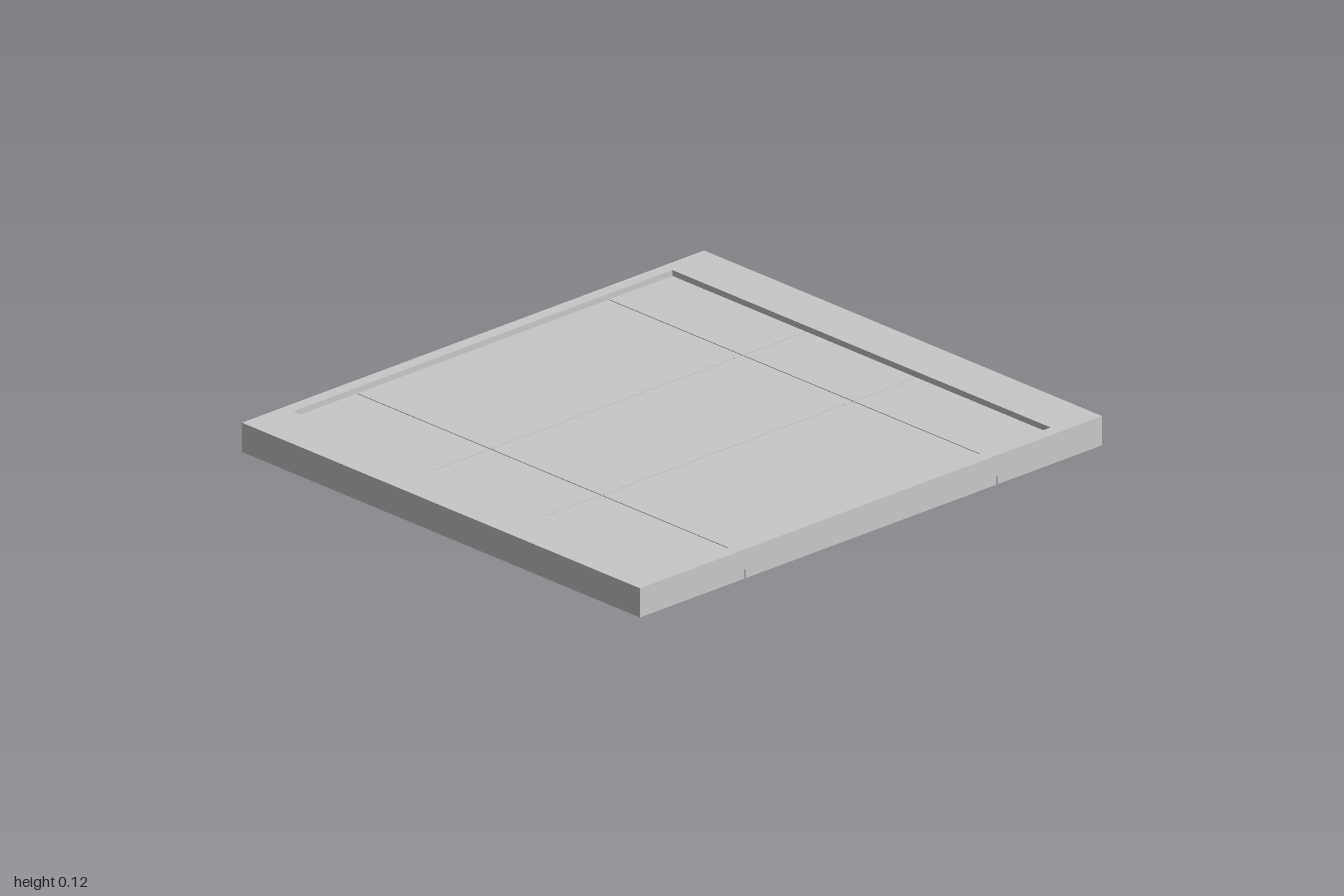
import * as THREE from 'three';

export function createModel() {
  const model = new THREE.Group();
  const grey = new THREE.MeshStandardMaterial({ color: 0xc8c8c8 });
  grey.name = 'light grey';

  const add = (name, geometry, parent = model) => {
    const mesh = new THREE.Mesh(geometry, grey);
    mesh.name = name;
    parent.add(mesh);
    return mesh;
  };
  const group = (name) => {
    const g = new THREE.Group();
    g.name = name;
    model.add(g);
    return g;
  };
  // Box given by its limits on each axis
  const block = (name, parent, [x0, x1], [y0, y1], [z0, z1]) => {
    const mesh = add(name, new THREE.BoxGeometry(x1 - x0, y1 - y0, z1 - z0), parent);
    mesh.position.set((x0 + x1) / 2, (y0 + y1) / 2, (z0 + z1) / 2);
  };

  const W = 0.91, L = 1;            // half size of the slab
  const innerX = 0.865, innerZ = 0.82; // half size of the tray
  const seamX = 0.253, seamZ = 0.545;
  const gap = 0.002;                // half width of a seam
  const low = 0.02, ceiling = 0.05, core = 0.08, floor = 0.1, top = 0.12;

  // Solid middle layer
  block('core', model, [-W, W], [ceiling, core], [-L, L]);

  // Raised rim around the tray
  const rect = (Shape, x, z) => new Shape([
    new THREE.Vector2(-x, -z), new THREE.Vector2(x, -z),
    new THREE.Vector2(x, z), new THREE.Vector2(-x, z)]);
  const rimShape = rect(THREE.Shape, W, L);
  rimShape.holes.push(rect(THREE.Path, innerX, innerZ));
  const rimGeometry = new THREE.ExtrudeGeometry(rimShape, { depth: top - core, bevelEnabled: false });
  rimGeometry.rotateX(-Math.PI / 2);
  add('rim', rimGeometry).position.y = core;

  // Nine tray panels separated by fine seams
  const spans = (outer, seam) => [
    [-outer, -seam - gap], [-seam + gap, seam - gap], [seam + gap, outer]];
  const tray = group('trayPanels');
  for (const xs of spans(innerX, seamX))
    for (const zs of spans(innerZ, seamZ)) block('trayPanel', tray, xs, [core, floor], zs);

  // Underside: end panels, end strips and two side panels around a central recess
  const underside = group('undersidePanels');
  const layer = [low, ceiling];
  for (const s of [-1, 1]) {
    const range = (a, b) => (s > 0 ? [a, b] : [-b, -a]);
    for (const xs of spans(W, seamX)) block('endPanel', underside, xs, layer, range(seamZ + gap, innerZ));
    block('endStrip', underside, [-W, W], layer, range(innerZ, L));
    block('sidePanel', underside, range(seamX, W), layer, [-seamZ + gap, seamZ - gap]);
  }

  // Bar with chamfered lower edges hanging in the recess
  const half = 0.44;
  const profile = new THREE.Shape([
    [-0.055, 0], [0.055, 0], [0.072, 0.014], [0.072, ceiling], [-0.072, ceiling], [-0.072, 0.014],
  ].map(([x, y]) => new THREE.Vector2(x, y)));
  const bar = new THREE.ExtrudeGeometry(profile, { depth: 2 * half, bevelEnabled: false });
  bar.translate(0, 0, -half);
  add('centreBar', bar);

  // Fine ribs and small knobs along both sides of the bar
  const fittings = group('barFittings');
  for (const s of [-1, 1]) {
    for (let i = 0; i < 29; i++) {
      const z = -0.42 + i * 0.03;
      const x = s * 0.073;
      block('rib', fittings, [x - 0.002, x + 0.002], [0.016, 0.03], [z - 0.005, z + 0.005]);
    }
    for (const z of [-0.32, 0, 0.32]) {
      const knob = add('knob', new THREE.CylinderGeometry(0.018, 0.018, 0.012, 16), fittings);
      knob.position.set(s * 0.095, ceiling - 0.006, z);
    }
  }

  // Tiny clips beside the seam crossings
  const clips = group('seamClips');
  for (const x of [-seamX, seamX])
    for (const z of [-0.522, 0.522])
      block('clip', clips, [x - 0.004, x + 0.004], [core, floor + 0.001], [z - 0.012, z + 0.012]);

  return model;
}
